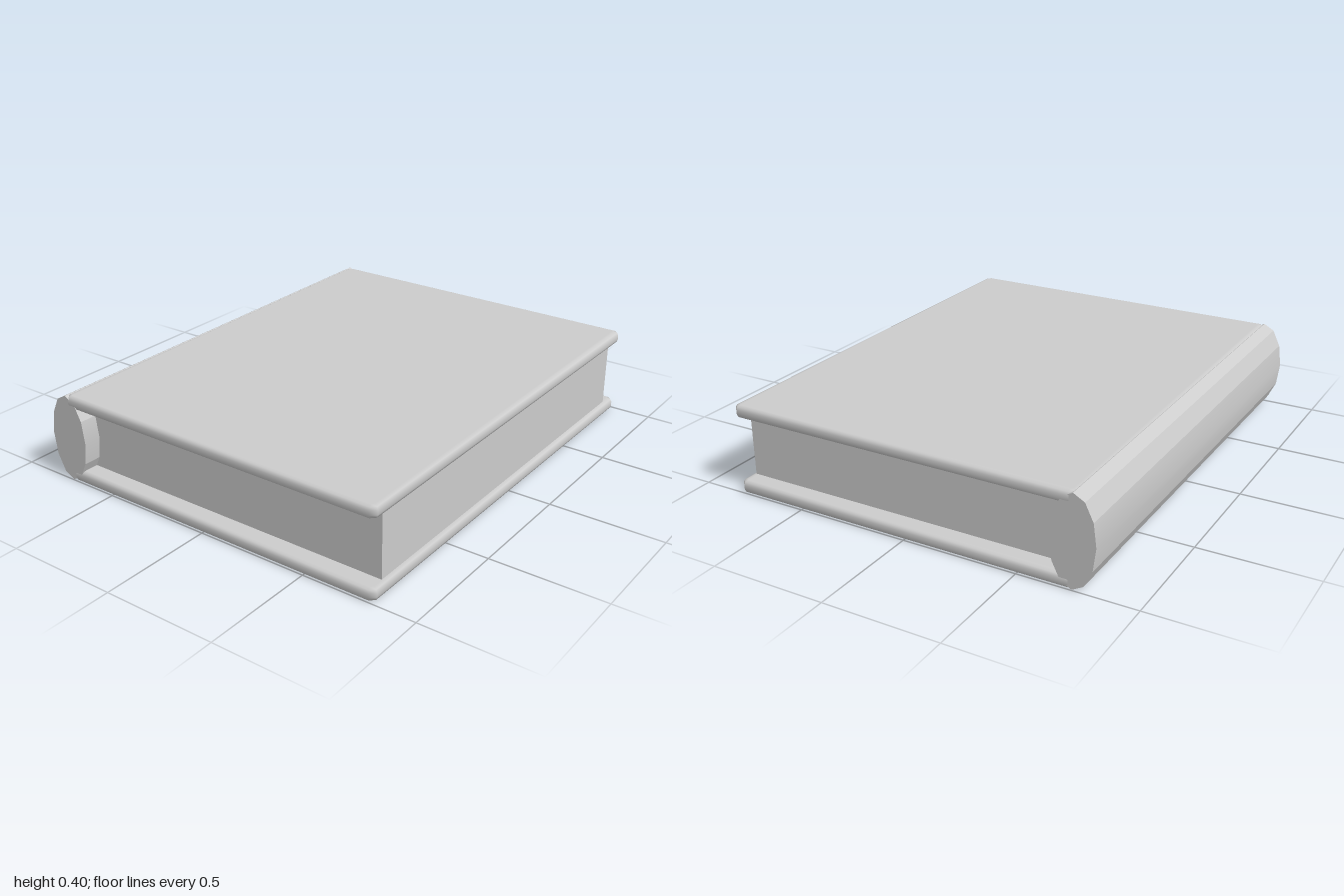
import * as THREE from 'three';
import { mergeVertices, toCreasedNormals } from 'three/addons/utils/BufferGeometryUtils.js';

const HEIGHT = 0.395;

// Flat board with clipped corners and a soft rounded rim
function coverGeometry(x0, x1, z, thickness) {
  const bevel = 0.018, clip = 0.012;
  const l = x0 + bevel, r = x1 - bevel, d = z - bevel;
  const outline = new THREE.Shape([
    [l + clip, -d], [r - clip, -d], [r, -d + clip], [r, d - clip],
    [r - clip, d], [l + clip, d], [l, d - clip], [l, -d + clip],
  ].map(([x, y]) => new THREE.Vector2(x, y)));
  const board = new THREE.ExtrudeGeometry(outline, {
    depth: thickness - 2 * bevel,
    bevelEnabled: true, bevelSize: bevel, bevelThickness: bevel, bevelSegments: 2,
  });
  board.center();
  board.rotateX(-Math.PI / 2);
  board.translate((x0 + x1) / 2, 0, 0);
  // Weld so the rim shades smoothly into the faces
  board.deleteAttribute('normal');
  board.deleteAttribute('uv');
  const smooth = mergeVertices(board, 1e-4);
  smooth.computeVertexNormals();
  return smooth;
}

export function createModel() {
  const book = new THREE.Group();
  book.name = 'book';
  const grey = new THREE.MeshStandardMaterial({ color: 0xcccccc });
  grey.name = 'light grey';

  const add = (name, geometry, x, y, z) => {
    const mesh = new THREE.Mesh(geometry, grey);
    mesh.name = name;
    mesh.position.set(x, y, z);
    book.add(mesh);
    return mesh;
  };

  // Front and back boards
  const thickness = 0.055;
  const cover = coverGeometry(-0.735, 0.82, 1, thickness);
  add('topCover', cover, 0, HEIGHT - thickness / 2, 0);
  add('bottomCover', cover, 0, thickness / 2, 0);

  // Page block, tucked into the spine and both covers
  add('pages', new THREE.BoxGeometry(1.53, 0.31, 1.84), 0.035, HEIGHT / 2, 0);

  // Twelve-sided oval spine along z
  const spine = new THREE.CylinderGeometry(1, 1, 2, 12);
  spine.rotateX(Math.PI / 2);
  spine.scale(0.095, 0.1955, 0.999);
  add('spine', toCreasedNormals(spine, 0.3), -0.73, HEIGHT / 2, 0);

  return book;
}
